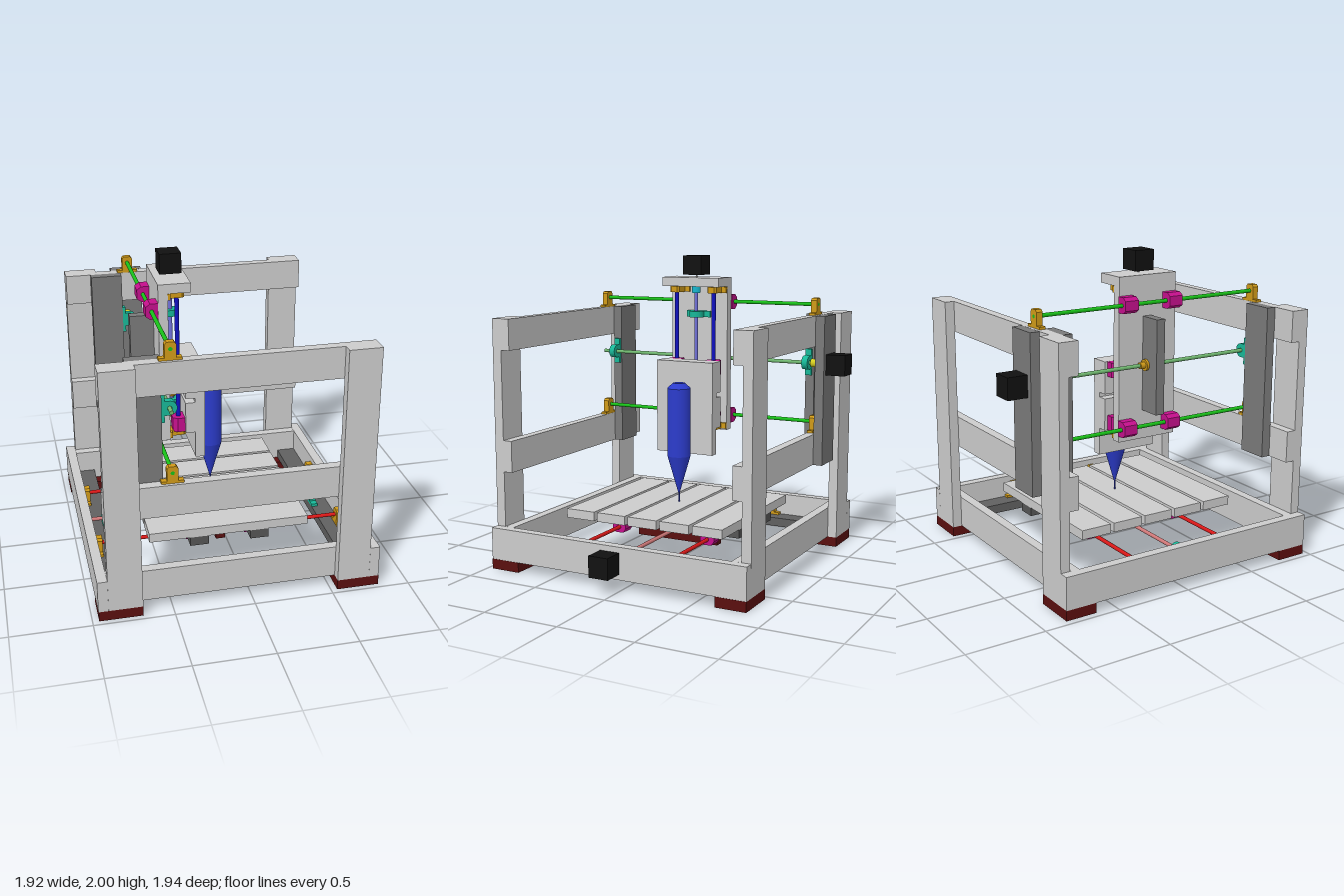
import * as THREE from 'three';

const GREY = 0xcccccc, DARK = 0x7a7a7a, FLANGE = 0x606060, BLACK = 0x111111, FOOT = 0x5a0f0f;
const GOLD = 0xd09a18, TEAL = 0x18b898, MAGENTA = 0xc4108c;
const X = new THREE.Vector3(1, 0, 0), Y = new THREE.Vector3(0, 1, 0), Z = new THREE.Vector3(0, 0, 1);
const NX = X.clone().negate(), NY = Y.clone().negate();
const mats = {};
const mat = c => (mats[c] ??= new THREE.MeshStandardMaterial({ color: c }));

export function createModel() {
  const root = new THREE.Group();
  const add = (name, geo, color) => {
    const m = new THREE.Mesh(geo, mat(color));
    m.name = name;
    root.add(m);
    return m;
  };
  // box given by its limits on each axis
  const box = (name, x0, x1, y0, y1, z0, z1, color = GREY) =>
    add(name, new THREE.BoxGeometry(x1 - x0, y1 - y0, z1 - z0), color)
      .position.set((x0 + x1) / 2, (y0 + y1) / 2, (z0 + z1) / 2);
  // cylinder between two points
  const rod = (name, a, b, r, color) => {
    const p = new THREE.Vector3(...a), q = new THREE.Vector3(...b);
    const m = add(name, new THREE.CylinderGeometry(r, r, p.distanceTo(q), 20), color);
    m.position.copy(p).add(q).multiplyScalar(0.5);
    m.quaternion.setFromUnitVectors(Y, q.sub(p).normalize());
  };
  // turn a part so its base normal is `up` and its bore runs along `axis`
  const mount = (name, geo, color, pos, up, axis) => {
    const m = add(name, geo, color);
    m.quaternion.setFromRotationMatrix(
      new THREE.Matrix4().makeBasis(new THREE.Vector3().crossVectors(up, axis), up, axis));
    m.position.set(...pos);
  };
  const extrude = (shape, depth) =>
    new THREE.ExtrudeGeometry(shape, { depth, bevelEnabled: false, curveSegments: 12 }).translate(0, 0, -depth / 2);
  const profile = (pts, holeY, holeR) => {
    const s = new THREE.Shape(pts.map(p => new THREE.Vector2(...p)));
    s.holes.push(new THREE.Path().absarc(0, holeY, holeR, 0, Math.PI * 2, true));
    return s;
  };

  // shared hardware: rod support, screw bearing, sliding bearing, nut
  const supportGeo = extrude(profile([[-0.068, 0], [0.068, 0], [0.068, 0.016], [0.034, 0.016],
    [0.034, 0.095], [0.022, 0.11], [-0.022, 0.11], [-0.034, 0.095], [-0.034, 0.016], [-0.068, 0.016]], 0.068, 0.012), 0.04);
  const ring = new THREE.Shape();
  ring.moveTo(-0.088, 0);
  ring.lineTo(0.088, 0);
  ring.lineTo(0.088, 0.02);
  ring.lineTo(0.045, 0.02);
  ring.lineTo(0.045, 0.05);
  ring.absarc(0, 0.05, 0.045, 0, Math.PI, false);
  ring.lineTo(-0.045, 0.02);
  ring.lineTo(-0.088, 0.02);
  ring.closePath();
  ring.holes.push(new THREE.Path().absarc(0, 0.05, 0.014, 0, Math.PI * 2, true));
  const screwBearingGeo = extrude(ring, 0.042);
  const slideGeo = extrude(profile([[-0.05, 0], [0.05, 0], [0.05, 0.05], [0.03, 0.078],
    [-0.03, 0.078], [-0.05, 0.05]], 0.04, 0.012), 0.095);
  const support = (...a) => mount('rodSupport', supportGeo, GOLD, ...a);
  const screwBearing = (...a) => mount('screwBearing', screwBearingGeo, TEAL, ...a);
  const slide = (...a) => mount('slideBearing', slideGeo, MAGENTA, ...a);

  const C = 0.0635; // centre of the frame along z
  const XC = -0.0775; // centre of the frame along x

  // feet, posts, cross beams and base
  for (const s of [-1, 1]) {
    const span = (c, a, b) => (s > 0 ? [c + a, c + b] : [c - b, c - a]);
    for (const t of [-1, 1]) {
      const fx = t < 0 ? [-0.96, -0.69] : [0.54, 0.81];
      const px = t < 0 ? [-0.9, -0.69] : [0.54, 0.745];
      box('foot', ...fx, 0, 0.065, ...span(C, 0.7, 0.903), FOOT);
      box('post', ...px, 0.065, 1.62, ...span(C, 0.84, 0.903));
    }
    box('upperBeam', -0.9, 0.745, 1.42, 1.62, ...span(C, 0.778, 0.84));
    box('lowerBeam', -0.9, 0.745, 0.635, 0.84, ...span(C, 0.778, 0.84));
    box('baseBeam', -0.9, 0.745, 0.065, 0.273, ...span(C, 0.778, 0.84));
    box('baseSide', ...span(XC, 0.823, 0.885), 0.065, 0.273, C - 0.903, C + 0.903);
    box('baseFlange', ...span(XC, 0.698, 0.823), 0.065, 0.125, C - 0.778, C + 0.778, FLANGE);
    box('screwMountPlate', -0.735, -0.53, 0.635, 1.62, ...span(C, 0.716, 0.778), DARK);
    // fixed ends of the table and gantry axes
    screwBearing([XC + s * 0.717, 0.125, 0.0675], Y, X);
    screwBearing([-0.53, 1.3, C + s * 0.743], X, Z);
    for (const z of [C - 0.33, C + 0.33]) support([XC + s * 0.803, 0.125, z], Y, X);
    for (const y of [0.84, 1.62]) support([-0.48, y, C + s * 0.8], Y, Z);
  }
  box('motorPlate', -0.585, -0.375, 0.635, 1.62, -0.84, -0.778, DARK);

  // table axis: rods, sliding bearings, screw, drive
  for (const z of [C - 0.33, C + 0.33]) {
    rod('tableRod', [-0.9, 0.193, z], [0.745, 0.193, z], 0.0125, 0xd81818);
    for (const x of [-0.27, 0.12]) slide([x, 0.235, z], NY, X);
  }
  rod('tableScrew', [-0.9, 0.175, 0.0675], [0.72, 0.175, 0.0675], 0.0125, 0xd07878);
  rod('tableCoupler', [0.7, 0.175, 0.0675], [0.745, 0.175, 0.0675], 0.028, MAGENTA);
  rod('tableMotorShaft', [0.72, 0.175, 0.0675], [0.83, 0.175, 0.0675], 0.006, GREY);
  box('tableMotor', 0.825, 0.96, 0.107, 0.243, 0, 0.135, BLACK);
  box('tableNutPlate', -0.105, -0.045, 0.095, 0.295, C - 0.3, C + 0.3, FOOT);
  rod('tableNutFlange', [-0.12, 0.175, 0.0675], [-0.105, 0.175, 0.0675], 0.036, GOLD);
  rod('tableNut', [-0.15, 0.175, 0.0675], [-0.03, 0.175, 0.0675], 0.021, GOLD);

  // table
  for (const x of [-0.27, 0.12]) box('tableBar', x - 0.06, x + 0.06, 0.235, 0.295, -0.5, 0.63, 0x555555);
  for (let i = -2; i <= 2; i++) {
    const z = C + i * 0.2315;
    box('tableSlat', -0.59, 0.437, 0.295, 0.355, z - 0.104, z + 0.104);
  }

  // gantry axis
  for (const y of [0.908, 1.688]) {
    rod('gantryRod', [-0.48, y, C - 0.82], [-0.48, y, C + 0.82], 0.0125, 0x18c018);
    for (const z of [-0.1, 0.227]) slide([-0.44, y, z], NX, Z);
  }
  rod('gantryScrew', [-0.48, 1.3, -0.74], [-0.48, 1.3, 0.89], 0.0125, 0x70b870);
  rod('gantryCoupler', [-0.48, 1.3, -0.778], [-0.48, 1.3, -0.715], 0.028, 0xd8d020);
  rod('gantryMotorShaft', [-0.48, 1.3, -0.84], [-0.48, 1.3, -0.77], 0.006, GREY);
  box('gantryMotor', -0.548, -0.412, 1.232, 1.368, -0.97, -0.838, BLACK);
  box('gantryNutPlate', -0.59, -0.44, 1.0, 1.6, C - 0.03, C + 0.03, DARK);
  rod('gantryNutFlange', [-0.48, 1.3, C - 0.046], [-0.48, 1.3, C - 0.03], 0.036, GOLD);
  rod('gantryNut', [-0.48, 1.3, C - 0.08], [-0.48, 1.3, C + 0.045], 0.021, GOLD);

  // vertical axis
  box('column', -0.44, -0.38, 0.815, 1.855, -0.142, 0.277);
  box('columnTop', -0.38, -0.238, 1.795, 1.855, -0.142, 0.277);
  for (const z of [-0.072, 0.207]) {
    rod('liftRod', [-0.314, 0.82, z], [-0.314, 1.795, z], 0.014, 0x1010c0);
    for (const y of [0.845, 1.772]) support([-0.38, y, z], X, Y);
    for (const y of [0.902, 1.252]) slide([-0.278, y, z], NX, Y);
  }
  for (const y of [0.995, 1.605]) screwBearing([-0.38, y, 0.0675], X, Y);
  rod('liftScrew', [-0.33, 0.96, 0.0675], [-0.33, 1.76, 0.0675], 0.0125, 0x7070d8);
  rod('liftCoupler', [-0.33, 1.75, 0.0675], [-0.33, 1.795, 0.0675], 0.03, 0x18b8d0);
  rod('liftMotorShaft', [-0.335, 1.78, 0.0675], [-0.335, 1.88, 0.0675], 0.006, GREY);
  rod('liftNutFlange', [-0.33, 1.04, 0.0675], [-0.33, 1.055, 0.0675], 0.036, GOLD);
  rod('liftNut', [-0.33, 1.03, 0.0675], [-0.33, 1.1, 0.0675], 0.021, GOLD);
  box('liftMotor', -0.403, -0.267, 1.872, 2, 0, 0.135, BLACK);

  // tool carriage
  box('upperCarrier', -0.28, -0.218, 1.09, 1.3, -0.142, 0.277);
  box('lowerCarrier', -0.28, -0.218, 0.852, 1.06, -0.142, 0.277);
  box('toolPlate', -0.218, -0.156, 0.675, 1.3, -0.142, 0.277);

  // spindle: stacked sections keep the shoulders sharp
  const spindle = new THREE.Group();
  spindle.name = 'spindle';
  spindle.position.set(-0.078, 0, 0.0675);
  for (const [name, y0, y1, r0, r1] of [['bit', 0.355, 0.43, 0.005, 0.005], ['nose', 0.42, 0.672, 0.006, 0.078],
    ['body', 0.672, 1.13, 0.078, 0.078], ['cap', 1.13, 1.165, 0.078, 0.04]]) {
    const m = new THREE.Mesh(new THREE.CylinderGeometry(r1, r0, y1 - y0, 32), mat(0x2c3ccc));
    m.name = name;
    m.position.y = (y0 + y1) / 2;
    spindle.add(m);
  }
  root.add(spindle);
  return root;
}
